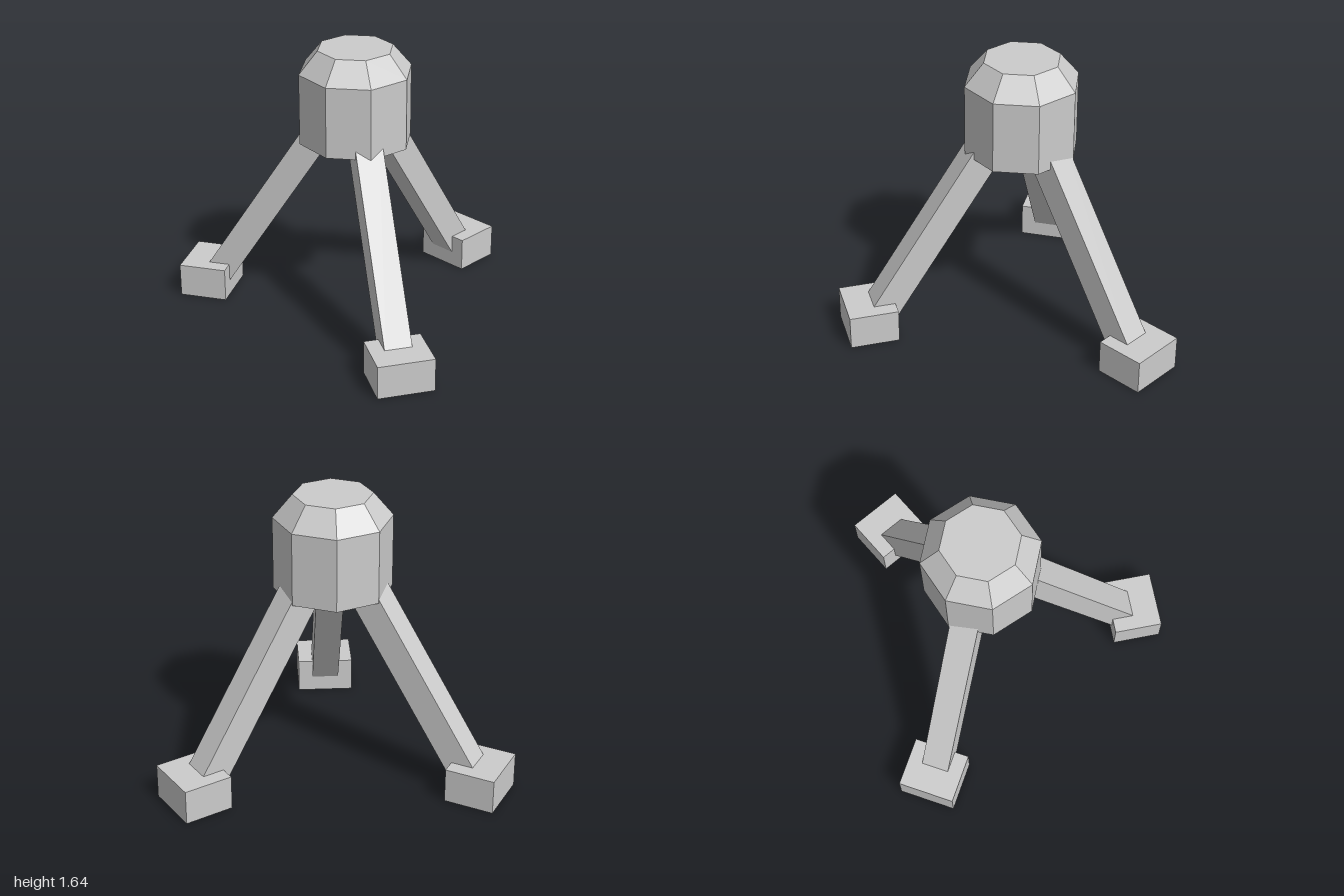
import * as THREE from 'three';

const material = new THREE.MeshStandardMaterial({ color: 0xcccccc, flatShading: true });

function addPart(parent, name, geometry) {
  const mesh = new THREE.Mesh(geometry, material);
  mesh.name = name;
  parent.add(mesh);
  return mesh;
}

// One leg with its foot block, reaching out along +z from the head's axis
function makeLeg(name) {
  const leg = new THREE.Group();
  leg.name = name;

  const top = new THREE.Vector2(0.124, 1.25); // (distance from axis, height)
  const bottom = new THREE.Vector2(0.867, 0.1);
  const strut = addPart(leg, 'strut', new THREE.BoxGeometry(0.16, top.distanceTo(bottom), 0.165));
  strut.position.set(0, (top.y + bottom.y) / 2, (top.x + bottom.x) / 2);
  strut.rotation.x = Math.atan2(top.x - bottom.x, top.y - bottom.y);

  const foot = addPart(leg, 'foot', new THREE.BoxGeometry(0.33, 0.2, 0.285));
  foot.position.set(0, 0.1, 0.917);
  return leg;
}

export function createModel() {
  const model = new THREE.Group();
  model.name = 'tripod';

  // The head's axis sits behind the centre of the footprint
  const body = new THREE.Group();
  body.name = 'body';
  body.position.z = -0.196;
  model.add(body);

  // Eight-sided head with a bevelled top
  const profile = [[0, 1.085], [0.33, 1.085], [0.33, 1.505], [0.22, 1.637], [0, 1.637]]
    .map(([r, y]) => new THREE.Vector2(r, y));
  addPart(body, 'head', new THREE.LatheGeometry(profile, 8));

  // Three legs, evenly spaced
  ['frontLeg', 'backLeftLeg', 'backRightLeg'].forEach((name, i) => {
    const leg = makeLeg(name);
    leg.rotation.y = (i * Math.PI * 2) / 3;
    body.add(leg);
  });

  return model;
}
